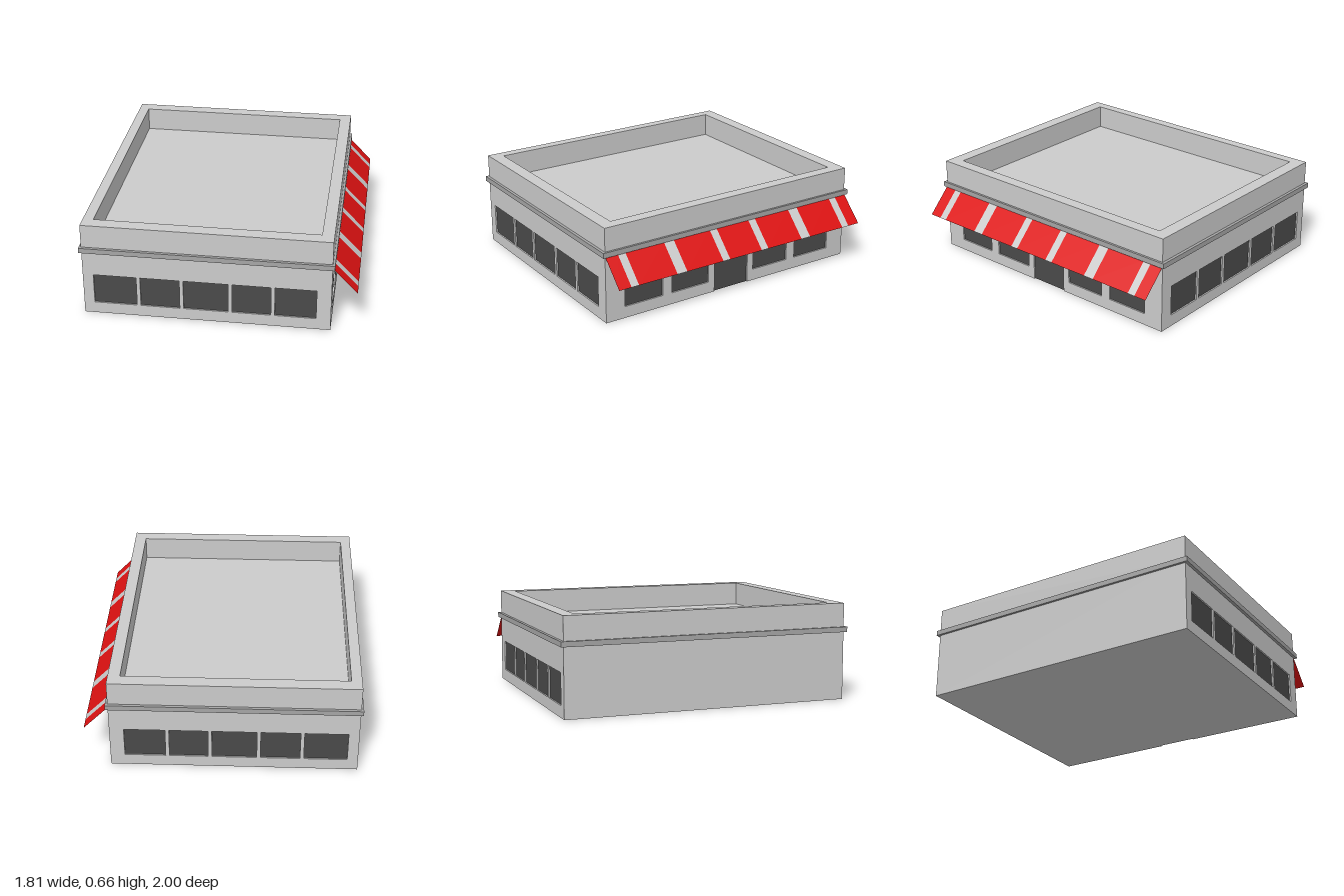
import * as THREE from 'three';

const X0 = -0.89, X1 = 0.74, Z = 0.98;      // outer wall faces
const ROOF = 0.49, TOP = 0.655, INSET = 0.012;
const SILL = 0.08, HEAD = 0.29;

const wallMat = new THREE.MeshStandardMaterial({ color: 0xcccccc });
const bandMat = new THREE.MeshStandardMaterial({ color: 0xa6a6a6 });
const glassMat = new THREE.MeshStandardMaterial({ color: 0x4a4a4a });
const redMat = new THREE.MeshStandardMaterial({ color: 0xdd1111, side: THREE.DoubleSide });
const paleMat = new THREE.MeshStandardMaterial({ color: 0xdddddd, side: THREE.DoubleSide });

function add(parent, name, geometry, material) {
  const mesh = new THREE.Mesh(geometry, material);
  mesh.name = name;
  parent.add(mesh);
  return mesh;
}

function rect(Type, a, b, c, d) {
  return new Type([[a, c], [b, c], [b, d], [a, d]].map(([x, y]) => new THREE.Vector2(x, y)));
}

// Rectangular ring lying flat between heights y0 and y1
function ring(outer, inner, y0, y1) {
  const shape = rect(THREE.Shape, ...outer);
  shape.holes.push(rect(THREE.Path, ...inner));
  return new THREE.ExtrudeGeometry(shape, { depth: y1 - y0, bevelEnabled: false })
    .rotateX(-Math.PI / 2).translate(0, y0, 0);
}

// Facade facing +z, its outer surface at z = 0, with recessed windows and an optional door
function facade(name, a, b, windows, door) {
  const group = new THREE.Group();
  group.name = name;
  const outline = [[a, 0]];
  if (door) outline.push([door[0], 0], [door[0], HEAD], [door[1], HEAD], [door[1], 0]);
  outline.push([b, 0], [b, ROOF], [a, ROOF]);
  const shape = new THREE.Shape(outline.map(([x, y]) => new THREE.Vector2(x, y)));
  const pane = (label, x0, x1, y0) => add(group, label,
    new THREE.PlaneGeometry(x1 - x0, HEAD - y0), glassMat)
    .position.set((x0 + x1) / 2, (y0 + HEAD) / 2, -INSET + 0.002);
  for (const [x0, x1] of windows) {
    shape.holes.push(rect(THREE.Path, x0, x1, SILL, HEAD));
    pane('window', x0, x1, SILL);
  }
  if (door) pane('door', door[0], door[1], 0);
  add(group, 'wall', new THREE.ExtrudeGeometry(shape, { depth: INSET, bevelEnabled: false })
    .translate(0, 0, -INSET), wallMat);
  return group;
}

export function createModel() {
  const model = new THREE.Group();
  model.name = 'shop';

  // Solid core, whose top is the sunken roof
  const coreX = X1 - INSET - X0;
  add(model, 'core', new THREE.BoxGeometry(coreX, ROOF, 2 * (Z - INSET)), wallMat)
    .position.set(X0 + coreX / 2, ROOF / 2, 0);

  // Front and back facades with matching windows
  const windows = [[-0.82, -0.535], [-0.51, -0.25], [-0.225, 0.07], [0.095, 0.35], [0.375, 0.645]];
  const front = facade('frontFacade', X0, X1, windows);
  front.position.z = Z;
  const back = facade('backFacade', -X1, -X0, windows.map(([a, b]) => [-b, -a]));
  back.rotation.y = Math.PI;
  back.position.z = -Z;

  // Entrance facade with a central door
  const side = facade('entranceFacade', -Z + INSET, Z - INSET,
    [[-0.84, -0.55], [-0.48, -0.185], [0.185, 0.475], [0.545, 0.84]], [-0.137, 0.137]);
  side.rotation.y = Math.PI / 2;
  side.position.x = X1;
  model.add(front, back, side);

  // Parapet and the ledge running round the building
  add(model, 'parapet', ring([X0, X1, -Z, Z], [-0.82, 0.66, -0.89, 0.89], ROOF, TOP), wallMat);
  add(model, 'ledge', ring([-0.905, 0.755, -1, 1], [X0 + 0.02, X1 - 0.02, -Z + 0.02, Z - 0.02],
    0.46, 0.495), bandMat);

  // Sloping striped awning, alternating red and pale cloth
  const awning = new THREE.Group();
  awning.name = 'awning';
  const edges = [-0.98, -0.89, -0.835, -0.545, -0.47, -0.185, -0.13,
    0.13, 0.185, 0.47, 0.545, 0.835, 0.89, 0.98];
  const drop = 0.17, reach = 0.165, slope = Math.hypot(drop, reach);
  for (let i = 0; i < edges.length - 1; i++) {
    const stripe = add(awning, i % 2 ? 'paleStripe' : 'redStripe',
      new THREE.PlaneGeometry(edges[i + 1] - edges[i], slope)
        .rotateX(-Math.atan2(reach, drop)).rotateY(Math.PI / 2),
      i % 2 ? paleMat : redMat);
    stripe.position.z = (edges[i] + edges[i + 1]) / 2;
  }
  awning.position.set(X1 + reach / 2, 0.295 + drop / 2, 0);
  model.add(awning);

  return model;
}
